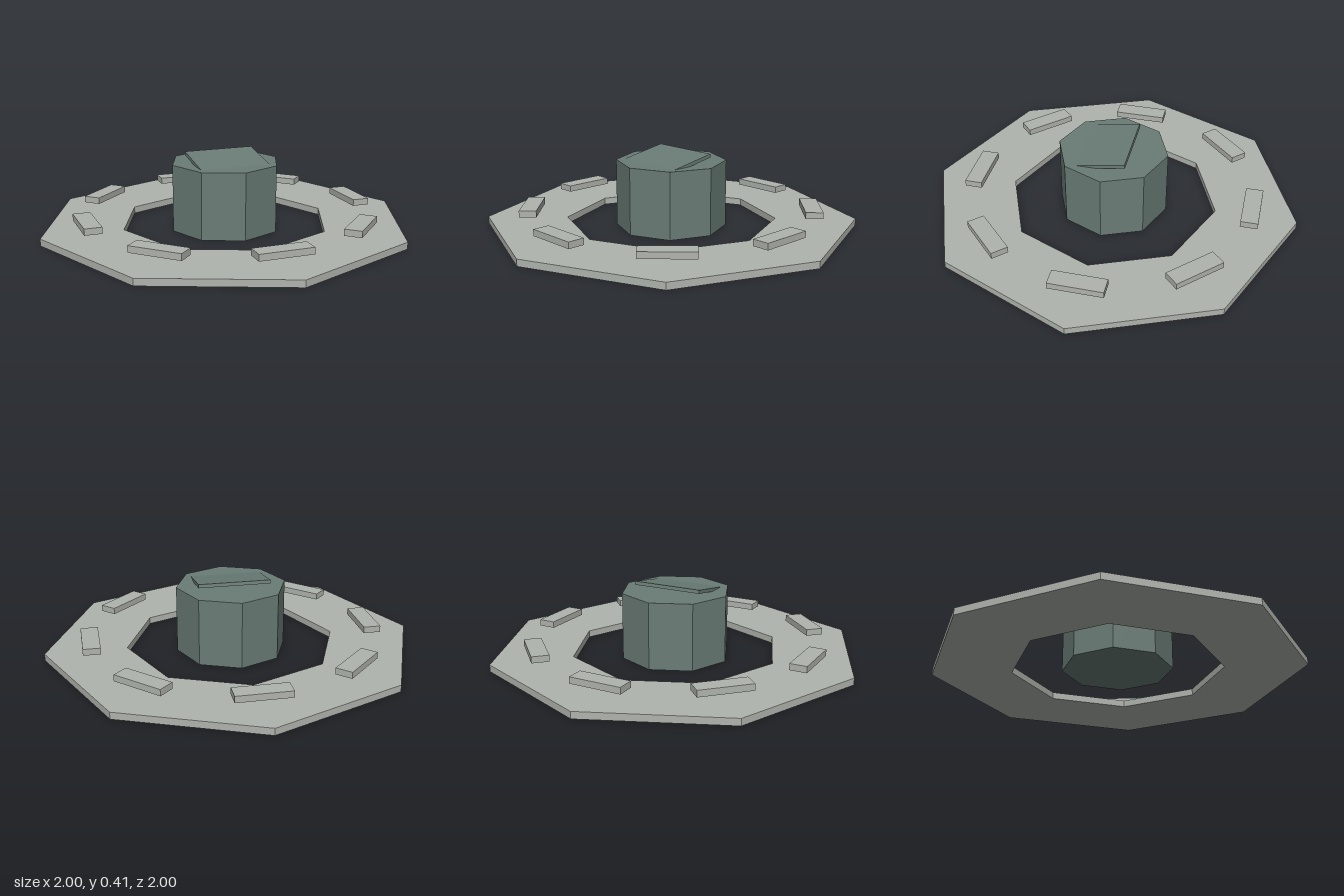
import * as THREE from 'three';

const SIDES = 8;

// Octagon points with a corner on each axis
function octagon(radius) {
  return Array.from({ length: SIDES }, (_, i) => {
    const a = (i / SIDES) * Math.PI * 2;
    return new THREE.Vector2(Math.cos(a) * radius, Math.sin(a) * radius);
  });
}

export function createModel() {
  const model = new THREE.Group();
  model.name = 'ringConsole';

  const stone = new THREE.MeshStandardMaterial({ color: 0xb0b4ad, flatShading: true });
  const metal = new THREE.MeshStandardMaterial({ color: 0x6a7c76, flatShading: true });

  const add = (name, geometry, material, parent = model) => {
    const mesh = new THREE.Mesh(geometry, material);
    mesh.name = name;
    parent.add(mesh);
    return mesh;
  };

  // Flat octagonal floor ring
  const ringShape = new THREE.Shape(octagon(1));
  ringShape.holes.push(new THREE.Path(octagon(0.565)));
  const ringGeometry = new THREE.ExtrudeGeometry(ringShape, { depth: 0.037, bevelEnabled: false });
  ringGeometry.rotateX(-Math.PI / 2);
  add('floorRing', ringGeometry, stone);

  // Central octagonal pedestal
  const pedestal = add('pedestal', new THREE.CylinderGeometry(0.295, 0.295, 0.36, SIDES), metal);
  pedestal.position.y = 0.18;

  // Tilted panel, its front edge sunk into the pedestal top
  const panel = add('tiltedPanel', new THREE.BoxGeometry(0.382, 0.019, 0.28), metal);
  panel.position.set(0, 0.372, 0.034);
  panel.rotation.x = 0.17;

  // Eight blocks hovering over the ring, each set along the tangent
  const blocks = new THREE.Group();
  blocks.name = 'hoveringBlocks';
  model.add(blocks);
  const blockGeometry = new THREE.BoxGeometry(0.285, 0.035, 0.093);
  for (let i = 0; i < SIDES; i++) {
    const a = (i / SIDES) * Math.PI * 2;
    const block = add('block' + (i + 1), blockGeometry, stone, blocks);
    block.position.set(Math.sin(a) * 0.757, 0.092, Math.cos(a) * 0.757);
    block.rotation.y = a;
  }

  return model;
}
